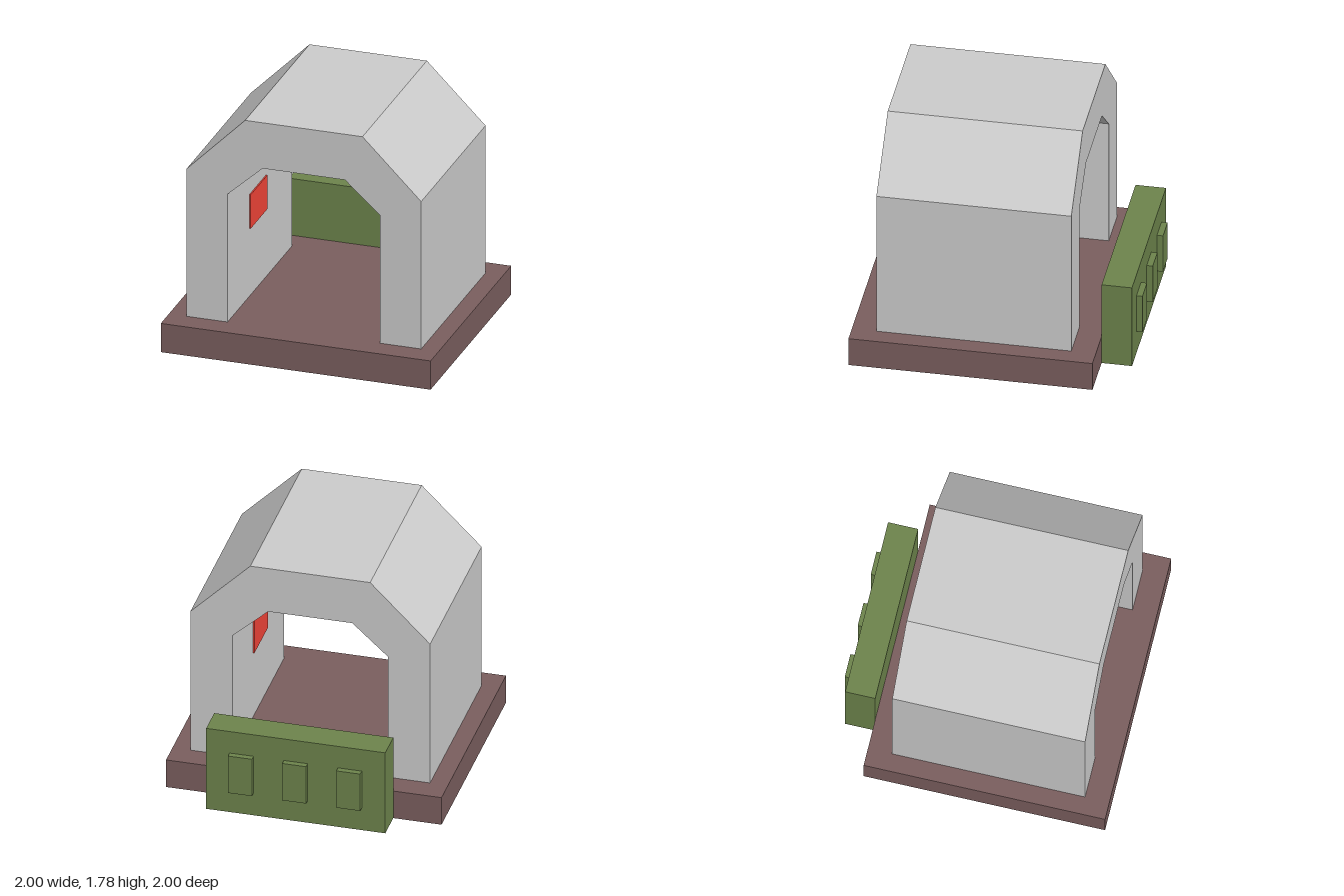
import * as THREE from 'three';

const mat = (color) => new THREE.MeshStandardMaterial({ color });

// Box given by its extents along each axis
function block(name, material, [x0, x1], [y0, y1], [z0, z1]) {
  const mesh = new THREE.Mesh(new THREE.BoxGeometry(x1 - x0, y1 - y0, z1 - z0), material);
  mesh.position.set((x0 + x1) / 2, (y0 + y1) / 2, (z0 + z1) / 2);
  mesh.name = name;
  return mesh;
}

export function createModel() {
  const model = new THREE.Group();
  model.name = 'archedShelter';
  const grey = mat(0xcccccc);
  const brown = mat(0x7a5e5e);
  const green = mat(0x6d844c);
  const red = mat(0xf04438);

  // Floor slab
  model.add(block('base', brown, [-1, 1], [0, 0.22], [-0.74, 1]));

  // Chamfered arch: half profile, outer foot round to inner foot, mirrored
  const outer = [[0.87, 0.22], [0.87, 1.35], [0.435, 1.785]];
  const inner = [[0.305, 1.435], [0.565, 1.2], [0.565, 0.22]];
  const mirror = (pts) => pts.map(([x, y]) => [-x, y]).reverse();
  const outline = [...outer, ...mirror(outer), ...mirror(inner), ...inner];
  const shape = new THREE.Shape(outline.map(([x, y]) => new THREE.Vector2(x, y)));
  const arch = new THREE.Mesh(
    new THREE.ExtrudeGeometry(shape, { depth: 1.39, bevelEnabled: false }), grey);
  arch.position.z = -0.565;
  arch.name = 'arch';
  model.add(arch);

  // Thin panels on the inner walls
  model.add(block('leftWallPanel', red, [0.555, 0.567], [0.74, 1], [-0.005, 0.355]));
  model.add(block('rightWallPanel', red, [-0.567, -0.555], [0.74, 1], [-0.005, 0.355]));

  // Rear barrier with three raised plates
  const barrier = new THREE.Group();
  barrier.name = 'rearBarrier';
  barrier.add(block('barrierWall', green, [-0.65, 0.65], [0, 0.655], [-0.957, -0.74]));
  for (const x of [-0.393, 0, 0.393]) {
    barrier.add(block('barrierPlate', green, [x - 0.087, x + 0.087], [0.18, 0.48], [-1, -0.957]));
  }
  model.add(barrier);

  return model;
}
